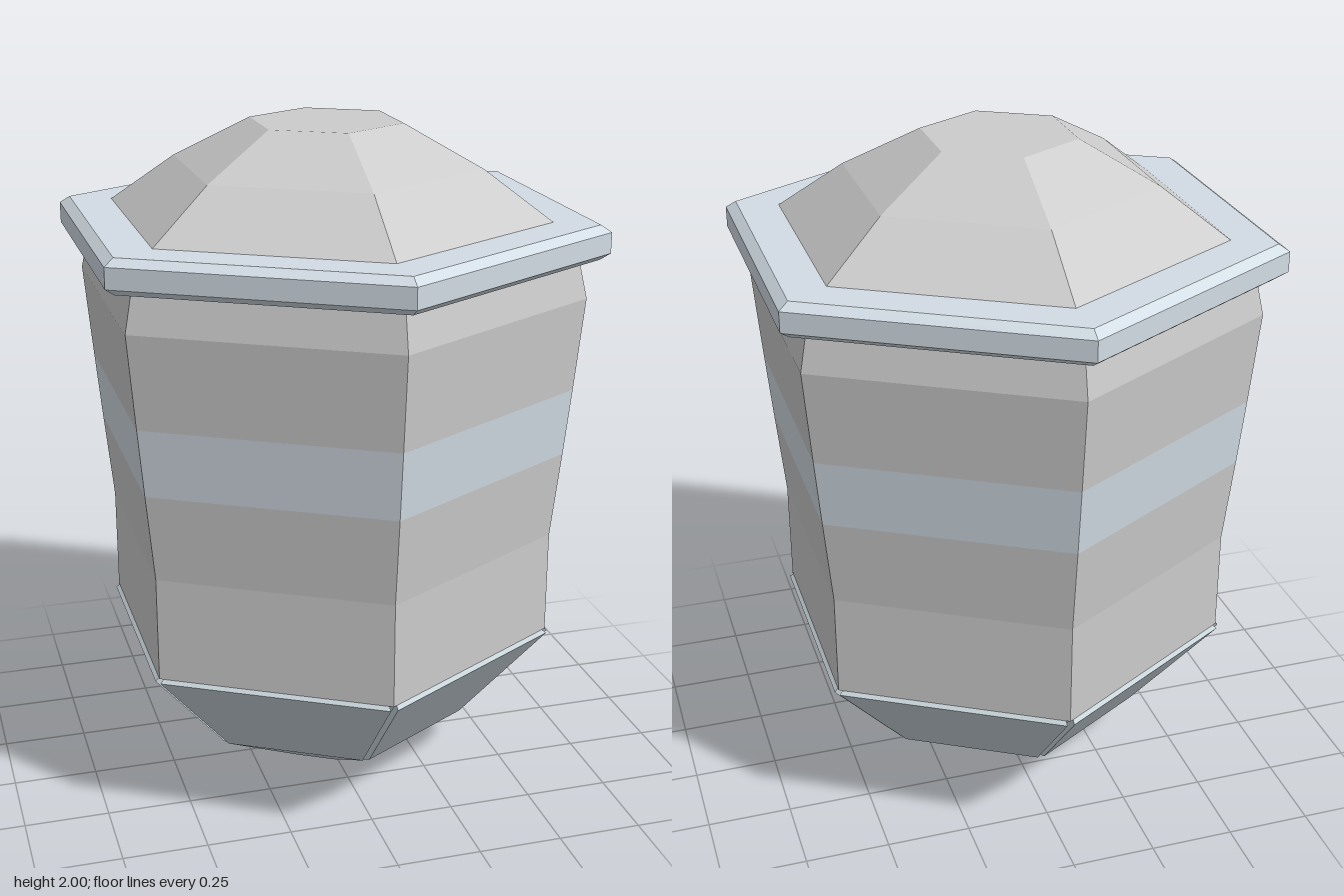
import * as THREE from 'three';

const grey = new THREE.MeshStandardMaterial({ color: 0xcccccc, flatShading: true });
const steel = new THREE.MeshStandardMaterial({ color: 0xd2dce4, flatShading: true });
const plate = new THREE.MeshStandardMaterial({ color: 0xc4d0d6, flatShading: true });

// Six-sided shell from a [radius, y] profile listed bottom to top; corners point to +z and -z
function hexShell(name, profile, material) {
  const points = profile.map(([r, y]) => new THREE.Vector2(r, y));
  const mesh = new THREE.Mesh(new THREE.LatheGeometry(points, 6), material);
  mesh.name = name;
  return mesh;
}

// Bent plate facing +z, swept through [outerDepth, outerY, innerDepth, innerY] stations from top to bottom
function panelGeometry(stations, gap) {
  const halfWidth = (depth) => Math.max(0, depth * Math.tan(Math.PI / 6) - gap);
  const positions = [];
  const index = [];
  for (const [oz, oy, iz, iy] of stations) {
    const ow = halfWidth(oz), iw = halfWidth(iz);
    positions.push(-ow, oy, oz, ow, oy, oz, iw, iy, iz, -iw, iy, iz);
  }
  const quad = (a, b, c, d) => index.push(a, b, c, a, c, d);
  for (let i = 0; i < stations.length - 1; i++) {
    for (let c = 0; c < 4; c++) {
      const n = (c + 1) % 4, up = i * 4, low = up + 4;
      quad(low + c, low + n, up + n, up + c);
    }
  }
  const last = (stations.length - 1) * 4;
  quad(0, 1, 2, 3);
  quad(last + 3, last + 2, last + 1, last);
  const geometry = new THREE.BufferGeometry();
  geometry.setAttribute('position', new THREE.Float32BufferAttribute(positions, 3));
  geometry.setIndex(index);
  const flat = geometry.toNonIndexed();
  flat.computeVertexNormals();
  return flat;
}

export function createModel() {
  const model = new THREE.Group();
  model.name = 'hexagonalCanister';

  // Body walls, split around the coloured band
  model.add(
    hexShell('lowerBody', [[0, 0.478], [0.69, 0.478], [0.69, 0.79], [0.718, 1.05]], grey),
    hexShell('bodyBand', [[0.718, 1.05], [0.738, 1.25]], steel),
    hexShell('upperBody', [[0.738, 1.25], [0.764, 1.525], [0.735, 1.65]], grey)
  );

  // Bevelled rim and faceted lid
  model.add(
    hexShell('rim', [[0.70, 1.64], [0.795, 1.64], [0.825, 1.66], [0.825, 1.72], [0.793, 1.74], [0.65, 1.74]], steel),
    hexShell('lid', [[0.66, 1.74], [0.46, 1.88], [0.227, 2], [0, 2]], grey)
  );

  // Tapered base: an inner core behind six separate plates
  model.add(hexShell('baseCore', [[0, 0.025], [0.125, 0.025], [0.405, 0.185], [0.67, 0.478]], plate));
  const geometry = panelGeometry([
    [0.608, 0.468, 0.592, 0.482],
    [0.382, 0.165, 0.36, 0.18],
    [0.122, 0, 0.112, 0.022],
    [0.022, 0, 0.022, 0.022]
  ], 0.012);
  const basePlates = new THREE.Group();
  basePlates.name = 'basePlates';
  for (let i = 0; i < 6; i++) {
    const panel = new THREE.Mesh(geometry, plate);
    panel.name = 'basePlate' + (i + 1);
    panel.rotation.y = Math.PI / 6 + i * Math.PI / 3;
    basePlates.add(panel);
  }
  model.add(basePlates);

  return model;
}
